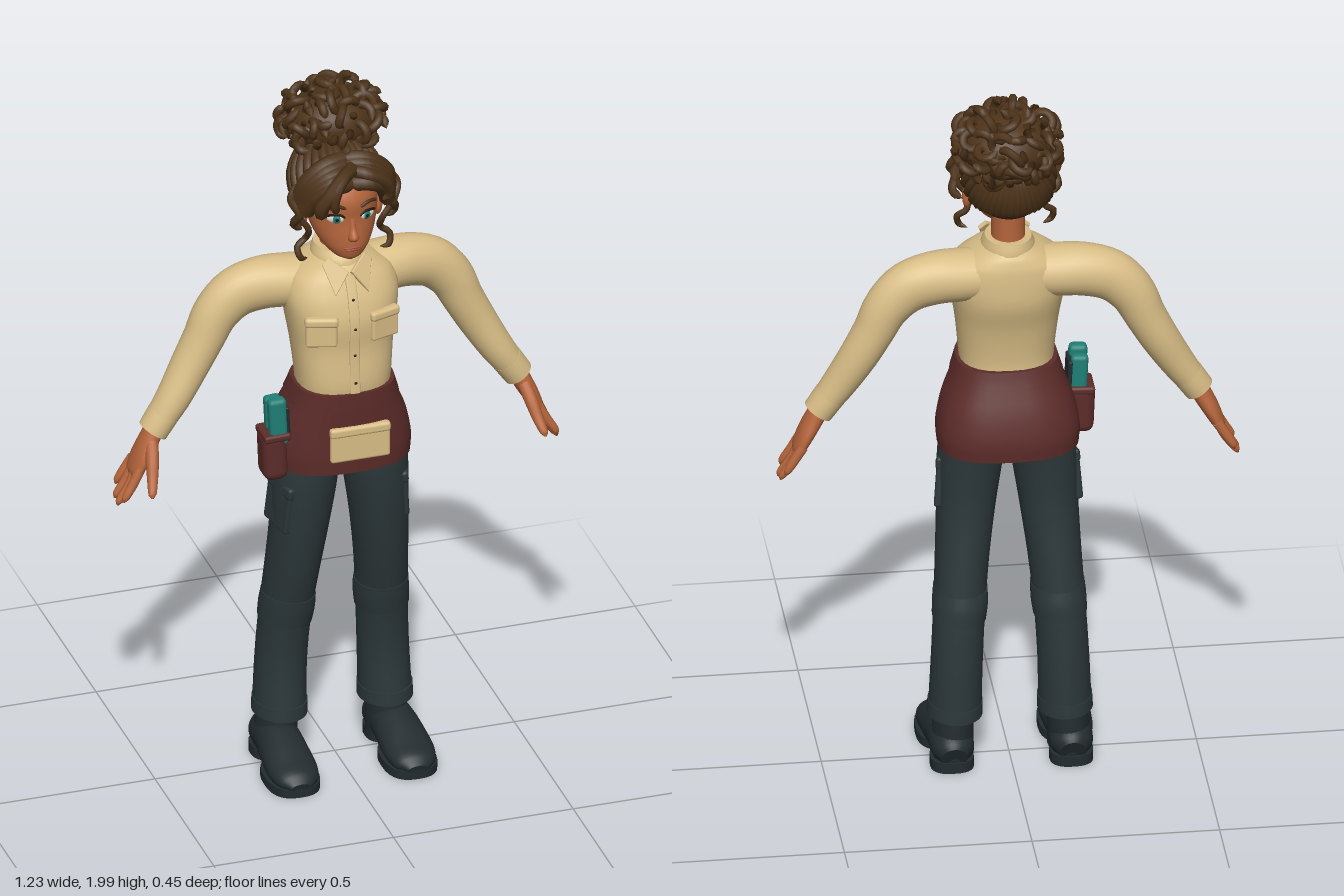
import * as THREE from 'three';
import { mergeGeometries } from 'three/addons/utils/BufferGeometryUtils.js';
import { RoundedBoxGeometry } from 'three/addons/geometries/RoundedBoxGeometry.js';

const material = (name, color) => {
  const m = new THREE.MeshStandardMaterial({ color });
  m.name = name;
  return m;
};
const V = (x, y, z) => new THREE.Vector3(x, y, z);
const AXIS_X = V(1, 0, 0), AXIS_Z = V(0, 0, 1);

// Smooth skin over rows [x, y, z, halfAcross, halfAlongRef]; power > 2 squares the section.
function loft(rows, { ref = AXIS_Z, steps = 4, sides = 28, power = 2, floor = -1 } = {}) {
  const path = new THREE.CatmullRomCurve3(rows.map(r => V(r[0], r[1], r[2])), false, 'centripetal');
  const size = new THREE.CatmullRomCurve3(rows.map(r => V(r[3], r[4], 0)), false, 'catmullrom');
  const n = (rows.length - 1) * steps, pos = [], idx = [];
  const bend = v => Math.sign(v) * Math.abs(v) ** (2 / power);
  const ring = t => {
    const c = path.getPoint(t), s = size.getPoint(t);
    const across = path.getTangent(t).cross(ref).normalize();
    for (let j = 0; j < sides; j++) {
      const a = (j / sides) * Math.PI * 2;
      const p = c.clone().addScaledVector(across, s.x * bend(Math.cos(a))).addScaledVector(ref, s.y * bend(Math.sin(a)));
      pos.push(p.x, Math.max(p.y, floor), p.z);
    }
    return c;
  };
  for (let i = 0; i <= n; i++) ring(i / n);
  for (let i = 0; i < n; i++) for (let j = 0; j < sides; j++) {
    const a = i * sides + j, b = i * sides + (j + 1) % sides;
    idx.push(a, a + sides, b, b, a + sides, b + sides);
  }
  for (const t of [0, 1]) { // end caps
    const start = pos.length / 3, c = ring(t), mid = pos.length / 3;
    pos.push(c.x, Math.max(c.y, floor), c.z);
    for (let j = 0; j < sides; j++) {
      const a = start + j, b = start + (j + 1) % sides;
      t ? idx.push(mid, b, a) : idx.push(mid, a, b);
    }
  }
  const g = new THREE.BufferGeometry();
  g.setAttribute('position', new THREE.Float32BufferAttribute(pos, 3));
  g.setIndex(idx);
  g.computeVertexNormals();
  return g;
}

// Tube that thins to a point at both ends
function lock(points, radius, segments = 20) {
  const curve = new THREE.CatmullRomCurve3(points.map(p => V(...p)));
  const g = new THREE.TubeGeometry(curve, segments, radius, 7), p = g.attributes.position, v = V();
  for (let i = 0; i < p.count; i++) {
    const t = Math.floor(i / 8) / segments, c = curve.getPointAt(t);
    v.fromBufferAttribute(p, i).sub(c).multiplyScalar(Math.min(1, 2.2 * Math.max(0, Math.sin(Math.PI * t)) ** 0.7)).add(c);
    p.setXYZ(i, v.x, v.y, v.z);
  }
  return g;
}

export function createModel() {
  const model = new THREE.Group();
  const shirt = material('cream cotton', 0xd8bd86), skin = material('skin', 0xb5653c);
  const hair = material('brown hair', 0x4d3319), maroon = material('maroon canvas', 0x5c2c29);
  const cloth = material('dark trousers', 0x2c3739), leather = material('boot leather', 0x232c30);
  const teal = material('teal plastic', 0x1f7f76), white = material('eye white', 0xd9d5cc);
  const dark = material('dark detail', 0x21160f), lip = material('lips', 0x9a4a38);

  const add = (name, geo, mat, pos = [0, 0, 0], rot = [0, 0, 0]) => {
    const m = new THREE.Mesh(geo, mat);
    m.name = name;
    m.position.set(...pos);
    m.rotation.set(...rot);
    model.add(m);
    return m;
  };
  const ball = (name, mat, pos, scale, rot) =>
    add(name, new THREE.SphereGeometry(1, 24, 16), mat, pos, rot).scale.set(...scale);
  const box = (name, mat, size, pos, rot) =>
    add(name, new RoundedBoxGeometry(...size, 2, Math.min(...size) * 0.35), mat, pos, rot);

  // Shirt body, collar and button strip
  add('shirtBody', loft([
    [0, 1.14, .06, .124, .11], [0, 1.2, .065, .128, .112], [0, 1.3, .054, .138, .115], [0, 1.38, .045, .15, .128],
    [0, 1.44, .037, .156, .122], [0, 1.49, .028, .14, .108], [0, 1.52, .024, .1, .094], [0, 1.535, .022, .07, .08],
  ], { power: 2.4 }), shirt);
  add('collar', loft([[0, 1.51, .024, .078, .09], [0, 1.54, .022, .07, .084], [0, 1.56, .016, .062, .072]]), shirt);
  add('buttonStrip', loft([[0, 1.51, .128, .004, .014], [0, 1.44, .159, .004, .014], [0, 1.38, .173, .004, .014],
    [0, 1.3, .17, .004, .014], [0, 1.17, .176, .004, .014]], { ref: AXIS_X, sides: 16, power: 4 }), shirt);
  [[1.45, .159], [1.37, .177], [1.29, .174], [1.21, .181]].forEach(([y, z]) =>
    ball('shirtButton', dark, [0, y, z], [.004, .004, .003]));

  // Apron with waistband and pockets
  add('apron', loft([
    [0, .938, .03, .188, .146], [0, .99, .03, .19, .148], [0, 1.06, .038, .175, .139],
    [0, 1.13, .053, .147, .126], [0, 1.175, .062, .132, .117],
  ], { power: 2.6, sides: 40 }), maroon);
  add('waistband', loft([[0, 1.13, .053, .15, .129], [0, 1.155, .058, .142, .124], [0, 1.178, .062, .135, .12]],
    { power: 2.6, sides: 40 }), maroon);
  box('frontPocket', shirt, [.165, .1, .022], [.013, 1.028, .175]);
  box('frontPocketFlap', shirt, [.168, .028, .025], [.013, 1.066, .176]);
  box('hipPouch', maroon, [.068, .14, .085], [-.203, .99, .09], [0, 0, .04]);
  box('pouchRim', maroon, [.074, .022, .09], [-.2, 1.05, .09], [0, 0, .04]);
  box('tool', teal, [.05, .14, .036], [-.195, 1.092, .11], [0, 0, .05]);
  box('tool', teal, [.046, .13, .032], [-.195, 1.085, .071], [0, 0, .05]);
  box('toolGrip', leather, [.012, .1, .07], [-.17, 1.085, .09], [0, 0, .05]);

  for (const s of [1, -1]) {
    const mirror = rows => rows.map(([x, ...rest]) => [s * x, ...rest]);

    // Chest pocket and collar flap
    box('chestPocket', shirt, [.084, .08, .022], [s * .087, 1.363, .154], [0, s * .3, 0]);
    box('chestPocketFlap', shirt, [.09, .028, .028], [s * .087, 1.396, .155], [0, s * .3, 0]);
    const flap = new THREE.Shape([[.004, 0], [.05, .045], [.068, .03], [.045, -.055]].map(([x, y]) => new THREE.Vector2(s * x, y)));
    add('collarFlap', new THREE.ExtrudeGeometry(flap, { depth: .008, bevelSize: .002, bevelThickness: .002, bevelSegments: 1 }),
      shirt, [0, 1.518, .128], [-.5, s * .3, 0]);

    // Sleeve and cuff
    add('sleeve', loft(mirror([
      [.06, 1.452, .005, .068, .075], [.13, 1.453, 0, .071, .075], [.2, 1.452, -.007, .072, .069], [.27, 1.432, -.012, .07, .061],
      [.325, 1.38, -.014, .063, .058], [.36, 1.31, -.013, .056, .056], [.4, 1.235, -.01, .052, .054],
      [.45, 1.15, 0, .046, .05], [.492, 1.088, .004, .04, .044],
    ])), shirt);
    add('cuff', loft(mirror([[.476, 1.112, .003, .043, .047], [.492, 1.088, .004, .042, .046], [.508, 1.064, .005, .041, .044]])), shirt);

    // Hand
    add('palm', loft(mirror([[.497, 1.085, .005, .026, .028], [.517, 1.045, .007, .026, .036],
      [.54, 1.0, .008, .023, .046], [.56, .958, .008, .017, .045], [.567, .943, .008, .009, .038]])), skin);
    [[.04, .05, .885], [.015, .022, .864], [-.009, -.008, .87], [-.03, -.035, .897]].forEach(([z0, z1, tip]) =>
      add('finger', loft(mirror([[.552, .975, z0, .014, .013], [.577, (.975 + tip) / 2, (z0 + z1) / 2, .013, .0125],
        [.606 - (tip - .866) * .4, tip + .012, z1, .01, .01], [.611 - (tip - .866) * .4, tip, z1, .003, .003]]), { sides: 12 }), skin));
    add('thumb', loft(mirror([[.517, 1.045, .02, .02, .018], [.527, 1.005, .06, .02, .018],
      [.536, .965, .09, .015, .015], [.545, .934, .117, .011, .011], [.547, .925, .124, .003, .003]]),
      { ref: AXIS_X, sides: 14 }), skin);

    // Trouser leg, knee panel and cargo pocket
    add('trouserLeg', loft(mirror([
      [.147, .15, -.022, .071, .085], [.142, .3, -.025, .069, .078], [.134, .45, -.012, .069, .08], [.123, .6, .015, .072, .086],
      [.11, .75, .037, .079, .088], [.097, .9, .043, .088, .096], [.085, 1.0, .036, .08, .1],
    ])), cloth);
    add('trouserHem', loft(mirror([[.147, .148, -.022, .074, .088], [.146, .185, -.022, .073, .086]])), cloth);
    add('kneePanel', loft(mirror([[.135, .432, -.014, .072, .083], [.131, .475, -.008, .074, .086], [.129, .515, 0, .072, .084]])), cloth);
    box('cargoPocket', cloth, [.022, .13, .11], [s * .172, .81, .058], [.12, s * -.25, s * .08]);
    box('cargoPocketFlap', cloth, [.026, .035, .114], [s * .168, .87, .065], [.12, s * -.25, s * .08]);

    // Boot
    add('bootShaft', loft(mirror([[.157, .04, -.028, .058, .08], [.153, .11, -.032, .055, .074], [.15, .17, -.033, .052, .068]])), leather);
    add('bootFoot', loft(mirror([[.158, .05, -.109, .036, .035], [.158, .062, -.08, .052, .056], [.16, .07, 0, .062, .06],
      [.162, .06, .07, .053, .066], [.163, .047, .14, .04, .068], [.163, .04, .19, .03, .056], [.163, .034, .218, .012, .028]]),
      { ref: AXIS_X, floor: .015 }), leather);
    add('bootSole', loft(mirror([[.163, .005, .12, .072, .098], [.163, .03, .12, .072, .098]]), { power: 2.6 }), leather);
    add('bootHeel', loft(mirror([[.159, .005, -.055, .058, .056], [.159, .035, -.055, .058, .056]]), { power: 2.6 }), leather);

    // Ear, eye and brow
    ball('ear', skin, [s * .106, 1.667, .042], [.013, .034, .021], [0, s * -.3, 0]);
    ball('eyeWhite', white, [s * .043, 1.694, .141], [.024, .0125, .0075], [0, s * .4, 0]);
    ball('iris', teal, [s * .042, 1.694, .1465], [.0115, .0115, .004], [0, s * .35, 0]);
    ball('pupil', dark, [s * .042, 1.694, .1495], [.005, .0055, .002], [0, s * .35, 0]);
    add('upperLid', lock([[s * .018, 1.696, .153], [s * .032, 1.708, .152], [s * .05, 1.709, .146], [s * .072, 1.7, .128]], .0035, 12), dark);
    add('brow', lock([[s * .018, 1.728, .159], [s * .045, 1.738, .152], [s * .074, 1.729, .13]], .005, 12), hair);
  }

  // Neck, head and face
  add('neck', loft([[0, 1.48, .02, .055, .06], [0, 1.56, .016, .045, .05], [0, 1.64, .02, .046, .055]]), skin);
  add('head', loft([
    [0, 1.563, .118, .012, .02], [0, 1.575, .105, .04, .047], [0, 1.603, .083, .066, .077], [0, 1.64, .062, .085, .097],
    [0, 1.69, .05, .096, .106], [0, 1.74, .048, .097, .11], [0, 1.785, .04, .084, .095], [0, 1.82, .035, .045, .055],
  ]), skin);
  add('nose', loft([[0, 1.627, .154, .004, .006], [0, 1.632, .157, .013, .014], [0, 1.643, .159, .014, .02],
    [0, 1.665, .154, .009, .011], [0, 1.7, .148, .009, .007]], { sides: 14 }), skin);
  ball('upperLip', lip, [0, 1.6085, .156], [.027, .004, .007]);
  ball('lowerLip', lip, [0, 1.602, .155], [.022, .005, .008]);

  // Hair over the skull, combed in ridges up to the bun
  const skull = V(0, 1.742, .01), half = V(.117, .116, .132);
  ball('hairCap', hair, skull.toArray(), half.toArray());
  const top = V(0, .8, -.6).normalize(), ridges = [];
  for (let i = 0; i < 34; i++) {
    const a = -2.95 + (i / 33) * 5.9; // angle measured from the back of the head
    const front = Math.max(0, Math.abs(a) - 1.3);
    const from = V(Math.sin(a), -.72 + front * .95, -Math.cos(a)).normalize();
    const pts = [0, .2, .4, .6, .8, 1].map(t =>
      from.clone().lerp(top, t).normalize().multiply(half).multiplyScalar(.99).add(skull).toArray());
    ridges.push(lock(pts, .015, 14));
  }
  add('combedHair', mergeGeometries(ridges), hair);

  // Curly bun
  let seed = 7;
  const rand = () => (seed = (seed * 16807) % 2147483647) / 2147483647;
  const bun = V(.014, 1.88, -.07), bunHalf = V(.122, .088, .114), curls = [];
  ball('bunCore', hair, bun.toArray(), bunHalf.toArray(), [-.15, 0, 0]);
  for (let i = 0; i < 95; i++) {
    const y = 1 - 2 * (i + .5) / 95, r = Math.sqrt(1 - y * y), a = i * 2.39996;
    const p = V(r * Math.cos(a), y, r * Math.sin(a)).multiply(bunHalf).add(bun);
    const turn = new THREE.Euler(rand() * 6.3, rand() * 6.3, rand() * 6.3), size = .02 + rand() * .012;
    curls.push(lock([0, 1, 2, 3, 4, 5].map(k =>
      V(Math.cos(k), Math.sin(k), k * .15 - .4).multiplyScalar(size).applyEuler(turn).add(p).toArray()), .012, 16));
  }
  add('bunCurls', mergeGeometries(curls), hair);

  // Parted fringe and loose curls
  const fringe = [];
  for (const s of [1, -1]) {
    for (let i = 0; i < 5; i++) {
      const k = i / 4;
      fringe.push(lock([[s * -.008, 1.795 + .05 * k, .14 - .05 * k], [s * (.045 + .015 * k), 1.798 + .04 * k, .158 - .055 * k],
        [s * (.086 + .025 * k), 1.772 + .02 * k, .14 - .045 * k], [s * (.106 + .022 * k), 1.73, .115 - .04 * k],
        [s * (.118 + .02 * k), 1.69 + .01 * k, .095 - .03 * k]], .022));
    }
    fringe.push(lock([[s * .105, 1.75, .11], [s * .128, 1.69, .09], [s * .102, 1.645, .09], [s * .104, 1.61, .07],
      [s * .128, 1.59, .075], [s * .122, 1.56, .085], [s * .1, 1.552, .075]], .009, 30));
    fringe.push(lock([[s * .12, 1.78, .07], [s * .147, 1.74, .08], [s * .13, 1.7, .1], [s * .14, 1.665, .08],
      [s * .115, 1.64, .075]], .012));
  }
  fringe.push(lock([[.02, 1.83, .12], [-.03, 1.835, .175], [-.075, 1.8, .2], [-.1, 1.755, .192], [-.085, 1.725, .175]], .02));
  fringe.push(lock([[.01, 1.84, .11], [-.03, 1.838, .185], [-.06, 1.81, .21], [-.068, 1.765, .208], [-.05, 1.745, .19]], .013));
  fringe.push(lock([[-.02, 1.83, .12], [.04, 1.825, .16], [.09, 1.79, .155], [.105, 1.75, .14], [.09, 1.725, .135]], .018));
  add('fringe', mergeGeometries(fringe), hair);

  return model;
}
